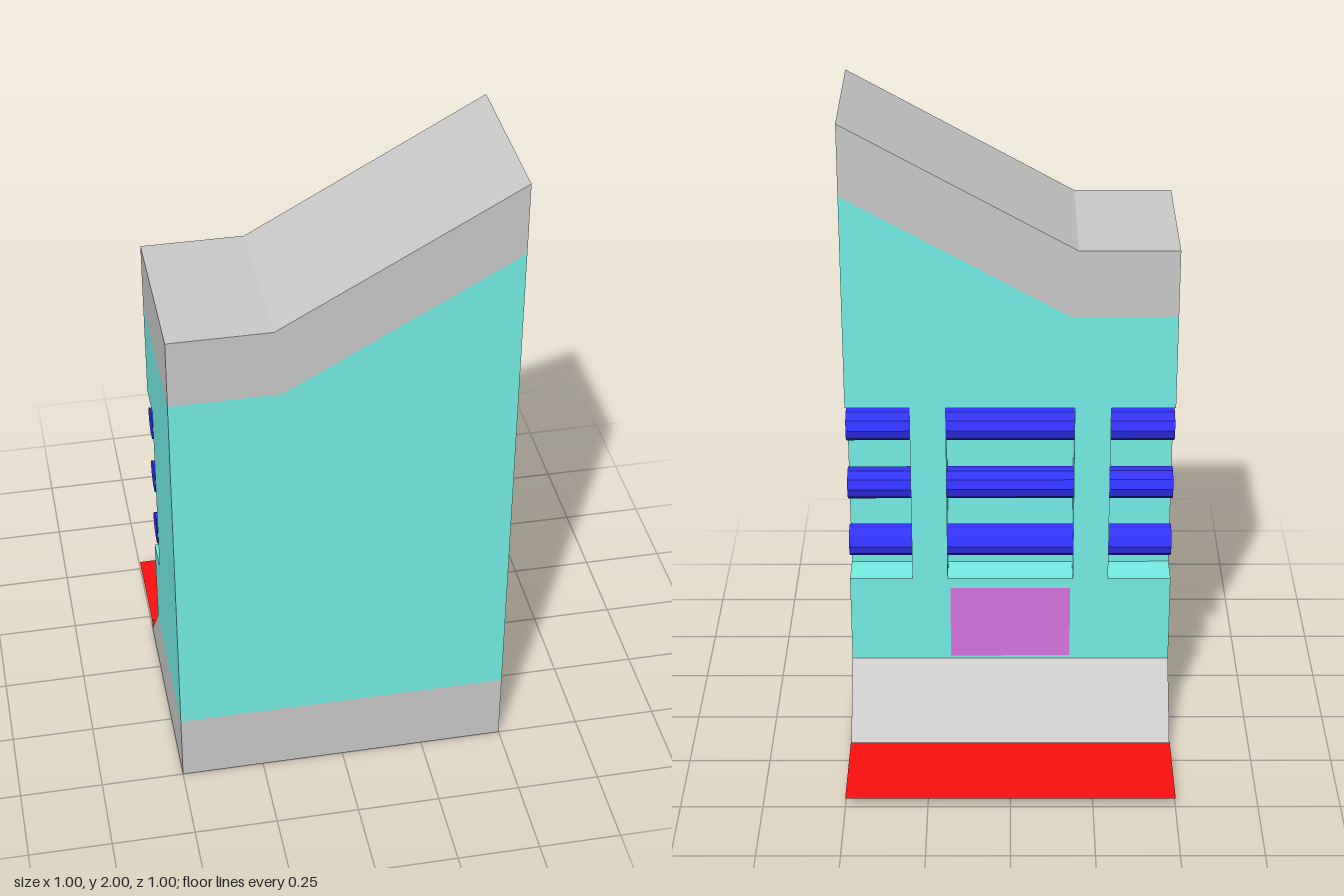
import * as THREE from 'three';

const mat = (color, side = THREE.FrontSide) =>
  new THREE.MeshStandardMaterial({ color, side, flatShading: true });

const shapeOf = (pts) => new THREE.Shape(pts.map(([x, y]) => new THREE.Vector2(x, y)));

export function createModel() {
  const model = new THREE.Group();
  const grey = mat(0xcccccc);
  const teal = mat(0x76f0e8);
  const blue = mat(0x3333ff);
  const red = mat(0xff0f0f, THREE.DoubleSide);
  const purple = mat(0xdb74e5, THREE.DoubleSide);

  const add = (name, geometry, material, x = 0, y = 0, z = 0) => {
    const mesh = new THREE.Mesh(geometry, material);
    mesh.name = name;
    mesh.position.set(x, y, z);
    model.add(mesh);
    return mesh;
  };
  const extrude = (shape, depth) => new THREE.ExtrudeGeometry(shape, { depth, bevelEnabled: false });

  const baseTop = 0.22, recessDepth = 0.11;
  const low = 0.51, high = 1.1;          // recess bottom and top
  const inner = 0.195, outer = 0.305;    // edges of the two posts between recesses

  // Base with a ramp sloping out at the back
  const base = extrude(shapeOf([[-0.19, 0], [0.5, 0], [0.5, baseTop], [0, baseTop]]), 1);
  base.rotateY(-Math.PI / 2);
  add('base', base, grey, 0.5);

  // Front part of the body, under the slanted top band
  const roofLine = [[0.5, 1.78], [-0.18, 1.4], [-0.5, 1.4]];
  add('bodyFront', extrude(shapeOf([[-0.5, baseTop], [0.5, baseTop], ...roofLine]), 0.5 - recessDepth),
    teal, 0, 0, recessDepth);

  // Back layer, with a notch on each side and a window in the middle
  const back = shapeOf([
    [-0.5, baseTop], [0.5, baseTop],
    [0.5, low], [outer, low], [outer, high], [0.5, high],
    ...roofLine,
    [-0.5, high], [-outer, high], [-outer, low], [-0.5, low],
  ]);
  back.holes.push(shapeOf([[-inner, low], [-inner, high], [inner, high], [inner, low]]));
  add('bodyBack', extrude(back, recessDepth), teal);

  // Slanted top band; its tall end takes the body colour
  add('topBand', extrude(shapeOf([
    [-0.5, 1.4], [-0.18, 1.4], [0.5, 1.78], [0.5, 2], [-0.2, 1.61], [-0.5, 1.61],
  ]), 0.5), grey);
  add('topBandEnd', new THREE.PlaneGeometry(0.5, 0.22).rotateY(Math.PI / 2), teal, 0.501, 1.89, 0.25);

  // Three rows of rollers in the recesses
  const sideLength = 0.5 - outer;
  for (const y of [0.62, 0.82, 1.02]) {
    for (const [x, length] of [[-0.5 + sideLength / 2, sideLength], [0, inner * 2], [0.5 - sideLength / 2, sideLength]]) {
      const roller = new THREE.CylinderGeometry(0.05, 0.05, length, 10).rotateZ(Math.PI / 2);
      add('roller', roller, blue, x, y, recessDepth / 2);
    }
  }

  // Panel below the middle recess
  add('backPanel', new THREE.PlaneGeometry(0.375, 0.245).rotateY(Math.PI), purple, 0, 0.355, -0.003);

  // Flat tray behind the ramp, with a short lip down to the ground
  add('tray', new THREE.PlaneGeometry(1, 0.305).rotateX(-Math.PI / 2), red, 0, 0.03, -0.3475);
  add('trayLip', new THREE.PlaneGeometry(1, 0.03).rotateY(Math.PI), red, 0, 0.015, -0.195);

  return model;
}
